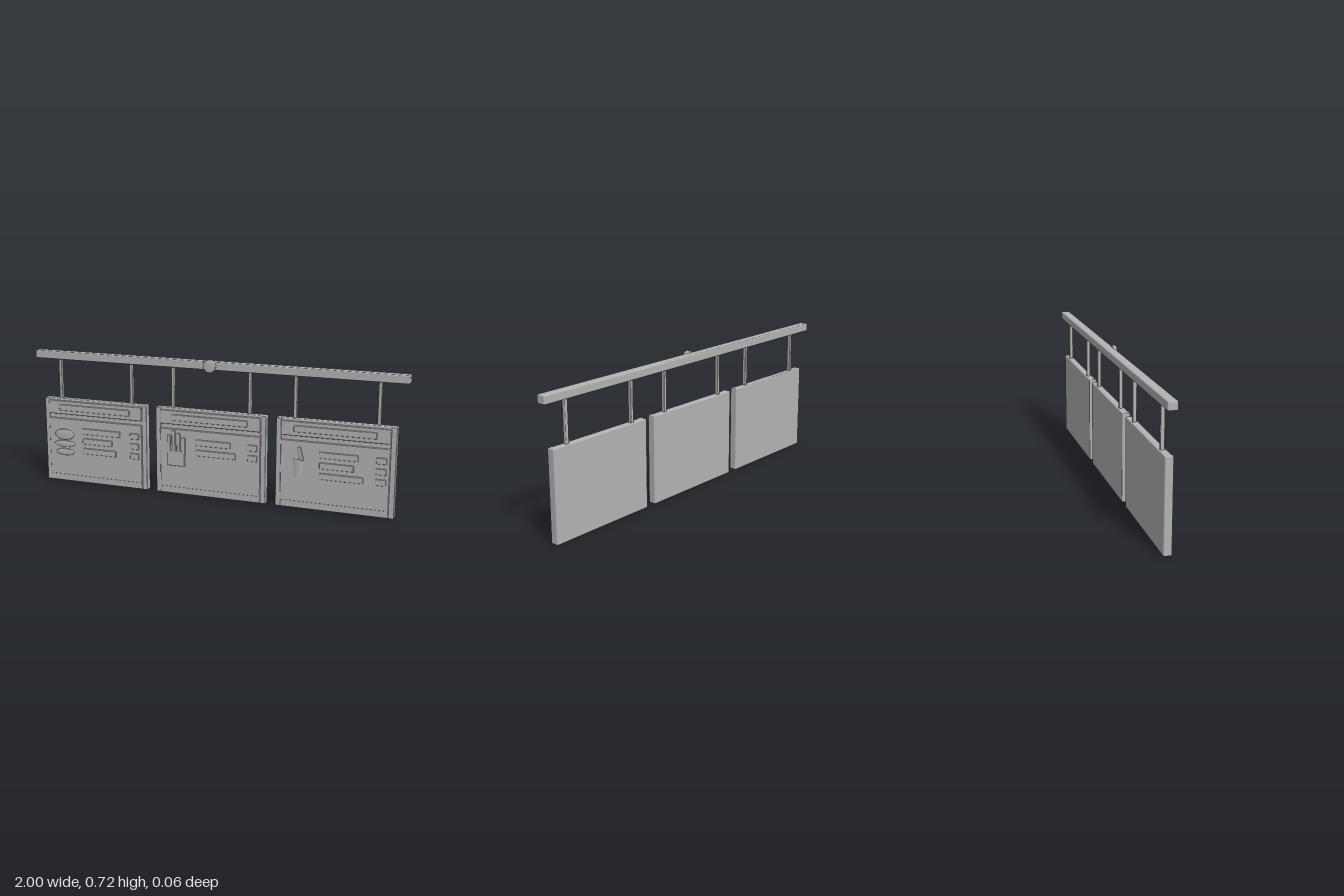
import * as THREE from 'three';
import { RoundedBoxGeometry } from 'three/addons/geometries/RoundedBoxGeometry.js';

const grey = new THREE.MeshStandardMaterial({ color: 0xb4b4b4 });
grey.name = 'plain grey';

// Bevelled block given by its limits on each axis
function block(parent, name, [x0, x1], [y0, y1], [z0, z1], bevel = 0.004) {
  const mesh = new THREE.Mesh(new RoundedBoxGeometry(x1 - x0, y1 - y0, z1 - z0, 1, bevel), grey);
  mesh.name = name;
  mesh.position.set((x0 + x1) / 2, (y0 + y1) / 2, (z0 + z1) / 2);
  parent.add(mesh);
  return mesh;
}

// Bevelled oval disc facing the front
function disc(parent, name, x, y, rx, ry, z0, z1) {
  const h = z1 - z0, b = h * 0.25;
  const profile = [[0, 0], [0.9, 0], [1, b], [1, h - b], [0.9, h], [0, h]].map(p => new THREE.Vector2(...p));
  const geo = new THREE.LatheGeometry(profile, 32).rotateX(Math.PI / 2).scale(rx, ry, 1);
  const mesh = new THREE.Mesh(geo, grey);
  mesh.name = name;
  mesh.position.set(x, y, z0);
  parent.add(mesh);
}

const ICON_X = -0.182;

function burgerIcon(parent) {
  disc(parent, 'burgerTop', ICON_X, 0.265, 0.056, 0.03, 0.015, 0.032);
  disc(parent, 'burgerFilling', ICON_X, 0.214, 0.061, 0.018, 0.015, 0.032);
  disc(parent, 'burgerBase', ICON_X, 0.168, 0.054, 0.019, 0.015, 0.033);
}

function friesIcon(parent) {
  block(parent, 'friesCarton', [ICON_X - 0.048, ICON_X + 0.048], [0.157, 0.238], [0.015, 0.033]);
  [0.32, 0.345, 0.332, 0.311].forEach((top, i) => {
    const x = ICON_X + (i - 1.5) * 0.0275;
    block(parent, 'fry', [x - 0.01, x + 0.01], [0.222, top], [0.015, 0.031]);
  });
}

function drinkIcon(parent) {
  const cup = new THREE.Mesh(new THREE.CylinderGeometry(0.034, 0.027, 0.096, 24).scale(1, 1, 0.35), grey);
  cup.name = 'drinkCup';
  cup.position.set(ICON_X, 0.211, 0.017);
  parent.add(cup);
  const straw = block(parent, 'drinkStraw', [-0.178, -0.16], [0.252, 0.322], [0.016, 0.031]);
  straw.rotation.z = 0.25;
}

// One hanging menu board with its two hanger rods
function menuBoard(name, x, lineLengths, icon) {
  const board = new THREE.Group();
  board.name = name;
  board.position.x = x;
  block(board, 'boardBody', [-0.3, 0.3], [0.002, 0.46], [-0.024, 0.013], 0.006);
  block(board, 'headerBand', [-0.273, 0.273], [0.375, 0.448], [0.005, 0.024]);
  block(board, 'titleBar', [-0.206, 0.206], [0.396, 0.429], [0.016, 0.031]);
  block(board, 'menuPanel', [-0.273, 0.273], [0.04, 0.352], [0.005, 0.024]);
  block(board, 'bottomLedge', [-0.273, 0.273], [0.005, 0.044], [0.003, 0.022]);
  for (const s of [-1, 1]) {
    const c = s * 0.286;
    block(board, 'sideRail', [c - 0.014, c + 0.014], [0.003, 0.459], [-0.005, 0.017]);
    block(board, 'hangerRod', [s * 0.208 - 0.009, s * 0.208 + 0.009], [0.45, 0.68], [-0.017, 0.003]);
  }
  // Raised menu lines with their price tags
  lineLengths.forEach((length, i) => {
    const y = 0.291 - i * 0.054;
    block(board, 'menuLine', [-0.073, -0.073 + length], [y - 0.016, y + 0.016], [0.015, 0.031]);
    block(board, 'priceTag', [0.207, 0.258], [y - 0.016, y + 0.016], [0.015, 0.031]);
  });
  icon(board);
  return board;
}

export function createModel() {
  const model = new THREE.Group();
  model.name = 'hangingMenuBoards';
  block(model, 'ceilingRail', [-1, 1], [0.67, 0.713], [-0.032, 0.016], 0.006);
  disc(model, 'railMedallion', 0, 0.691, 0.034, 0.034, 0.008, 0.027);
  model.add(
    menuBoard('burgerBoard', -0.652, [0.222, 0.175, 0.198], burgerIcon),
    menuBoard('friesBoard', 0, [0.19, 0.217], friesIcon),
    menuBoard('drinkBoard', 0.652, [0.193, 0.172, 0.219], drinkIcon),
  );
  return model;
}
